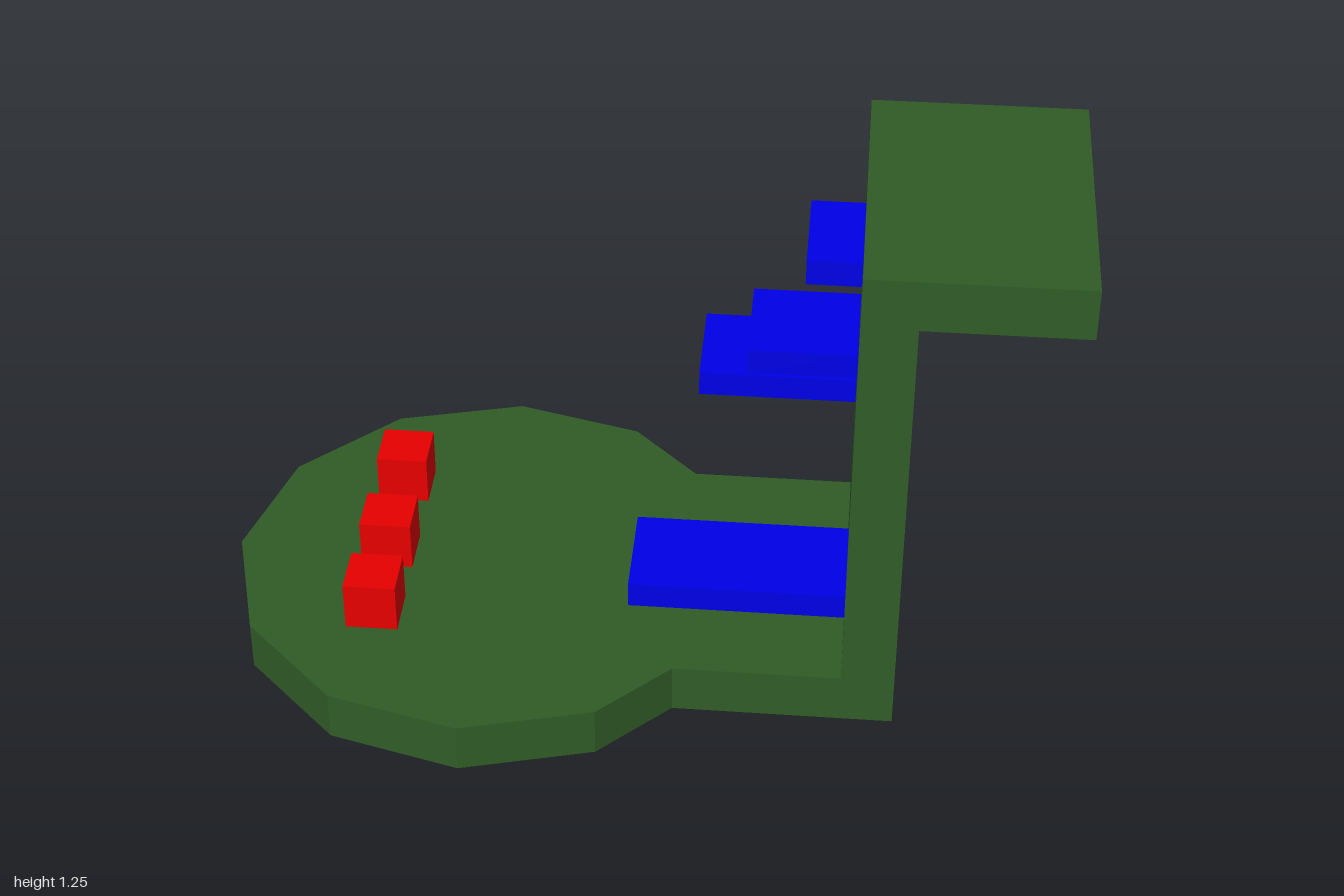
import * as THREE from 'three';

export function createModel() {
  const model = new THREE.Group();
  const makeMaterial = (name, color) => {
    const m = new THREE.MeshStandardMaterial({ color });
    m.name = name;
    return m;
  };
  const green = makeMaterial('darkGreen', 0x305c27);
  const blue = makeMaterial('blue', 0x0000ff);
  const red = makeMaterial('red', 0xff0000);

  const add = (name, geometry, material) => {
    const mesh = new THREE.Mesh(geometry, material);
    mesh.name = name;
    model.add(mesh);
    return mesh;
  };
  // Box given by its lowest and highest corners
  const addBox = (name, material, [x0, y0, z0], [x1, y1, z1]) => {
    const mesh = add(name, new THREE.BoxGeometry(x1 - x0, y1 - y0, z1 - z0), material);
    mesh.position.set((x0 + x1) / 2, (y0 + y1) / 2, (z0 + z1) / 2);
  };

  const T = 0.125;     // slab thickness
  const W = 0.375;     // half width of walkway, wall and ledge
  const R = 0.625;     // radius of the round platform

  // Floor: twelve-sided platform joined to a straight walkway
  const outline = [new THREE.Vector2(0.625, W), new THREE.Vector2(0.1035, W)];
  for (let i = 2; i <= 10; i++) {
    const a = (i * Math.PI) / 6;
    outline.push(new THREE.Vector2(-0.375 + R * Math.cos(a), R * Math.sin(a)));
  }
  outline.push(new THREE.Vector2(0.1035, -W), new THREE.Vector2(0.625, -W));
  const floor = new THREE.ExtrudeGeometry(new THREE.Shape(outline), { depth: T, bevelEnabled: false });
  floor.rotateX(-Math.PI / 2);
  add('floor', floor, green);

  // Wall with the upper ledge, extruded from its side profile
  const profile = [[0.5, T], [0.625, T], [0.625, 1.125], [1, 1.125], [1, 1.25], [0.5, 1.25]];
  const wall = new THREE.ExtrudeGeometry(
    new THREE.Shape(profile.map(([x, y]) => new THREE.Vector2(x, y))),
    { depth: 2 * W, bevelEnabled: false }
  );
  wall.translate(0, 0, -W);
  add('wallAndLedge', wall, green);

  // Climbing steps, each higher one shorter
  [0.25, -0.25, 0, 0].forEach((z, i) => {
    const top = 0.375 + i * 0.25;
    addBox(`step${i + 1}`, blue, [i * T, top - 0.0625, z - T], [0.5, top, z + T]);
  });

  // Row of cubes on the platform
  [-0.265, -0.002, 0.232].forEach((z, i) => {
    addBox(`cube${i + 1}`, red, [-0.6875, T, z - T / 2], [-0.5625, 2 * T, z + T / 2]);
  });

  return model;
}
